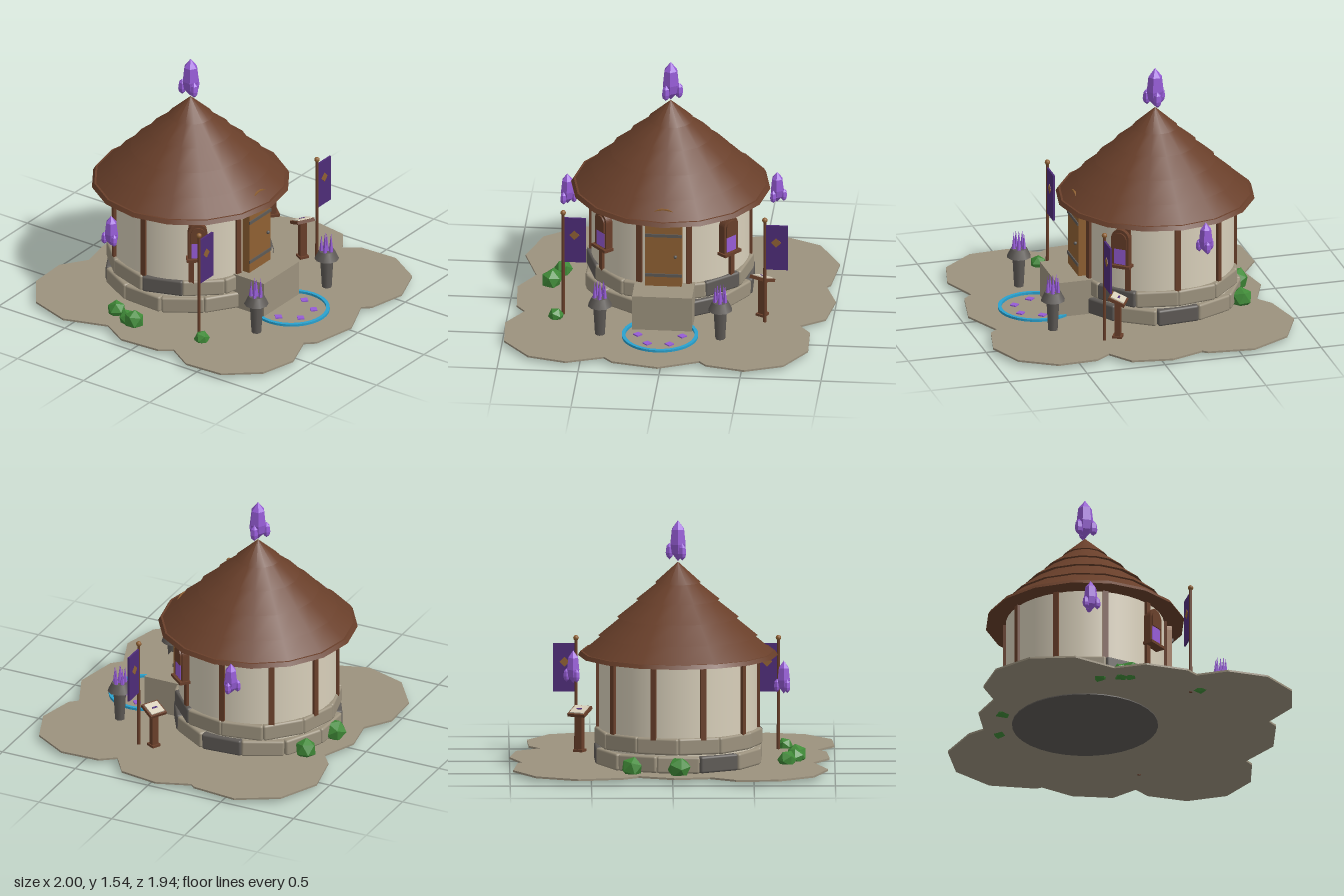
import * as THREE from 'three';
import { RoundedBoxGeometry } from 'three/addons/geometries/RoundedBoxGeometry.js';

const mat = (name, color, opts = {}) => {
  const m = new THREE.MeshStandardMaterial({ color, ...opts });
  m.name = name;
  return m;
};

export function createModel() {
  const M = {
    stone: mat('pale stone', 0x9c927e),
    dark: mat('dark stone', 0x5e5a56),
    cream: mat('plaster', 0xd8cfba),
    roof: mat('dark wood', 0x693f2a),
    wood: mat('light wood', 0x8f6033),
    crystal: mat('crystal purple', 0x965cd6, { flatShading: true }),
    cloth: mat('banner purple', 0x4e2c78),
    leaf: mat('leaf green', 0x408a38, { flatShading: true }),
    rune: mat('rune blue', 0x2aa2cf),
    iron: null,
  };
  M.iron = M.dark;

  const model = new THREE.Group();
  const add = (parent, name, geo, material, x = 0, y = 0, z = 0) => {
    const m = new THREE.Mesh(geo, material);
    m.name = name;
    m.position.set(x, y, z);
    parent.add(m);
    return m;
  };
  const group = (name, x = 0, y = 0, z = 0, parent = model) => {
    const g = new THREE.Group();
    g.name = name;
    g.position.set(x, y, z);
    parent.add(g);
    return g;
  };
  const box = (w, h, d) => new THREE.BoxGeometry(w, h, d);
  const cyl = (rt, rb, h, n = 16) => new THREE.CylinderGeometry(rt, rb, h, n);
  const extrude = (shape, depth) =>
    new THREE.ExtrudeGeometry(shape, { depth, bevelEnabled: false, curveSegments: 10 });
  const deg = Math.PI / 180;

  // Lobed ground slab
  const outline = [
    [-.65, -.97], [-.39, -.98], [-.23, -.87], [-.01, -.91], [.21, -.82], [.3, -.89], [.58, -.95], [.84, -.83],
    [.98, -.58], [.95, -.29], [.925, -.26], [1, -.05], [.96, .2], [.81, .305], [.88, .4], [.89, .65], [.755, .87],
    [.52, .96], [.28, .905], [.235, .855], [-.015, .963], [-.3, .905], [-.355, .845], [-.585, .93], [-.82, .87],
    [-.985, .67], [-1, .417], [-.893, .246], [-.95, .17], [-.968, -.096], [-.866, -.27], [-.957, -.545], [-.87, -.81],
  ];
  const slab = extrude(new THREE.Shape(outline.map(([x, z]) => new THREE.Vector2(x, z))), 0.012);
  slab.rotateX(Math.PI / 2);
  add(model, 'ground', slab, M.stone, 0, 0.045, 0);

  // Round hut: floor, wall, posts
  const hut = group('hut', -0.035, 0, -0.24);
  add(hut, 'floor', cyl(0.45, 0.45, 0.015, 32), M.dark, 0, 0.034, 0);
  add(hut, 'wall', cyl(0.488, 0.488, 0.67, 40), M.cream, 0, 0.385, 0);
  for (let i = 0; i < 10; i++) {
    const a = (18 + 36 * i) * deg;
    const post = add(hut, 'wallPost', box(0.034, 0.48, 0.034), M.roof, Math.sin(a) * 0.487, 0.49, Math.cos(a) * 0.487);
    post.rotation.y = a;
  }

  // Two staggered courses of foundation stones
  const courses = [
    { y: 0.1, r: 0.463, offset: 0, dark: [30, 90, 210] },
    { y: 0.212, r: 0.452, offset: 15, dark: [45, 285] },
  ];
  for (const c of courses) {
    for (let i = 0; i < 12; i++) {
      const d = c.offset + 30 * i;
      const wobble = Math.sin(i * 2.7 + c.offset);
      const s = add(hut, 'foundationStone', new RoundedBoxGeometry(0.264, 0.104, 0.1, 2, 0.014),
        c.dark.includes(d) ? M.dark : M.stone, Math.sin(d * deg) * c.r, c.y, Math.cos(d * deg) * c.r);
      s.rotation.set(0, d * deg + wobble * 0.03, wobble * 0.025, 'YXZ');
    }
  }

  // Tiered roof: [bottom radius, bottom height, top radius, top height]
  const tiers = [
    [0.615, 0.71, 0.6, 0.735], [0.59, 0.733, 0.455, 0.845], [0.49, 0.833, 0.335, 0.96],
    [0.374, 0.948, 0.22, 1.07], [0.257, 1.058, 0.11, 1.175], [0.14, 1.163, 0, 1.29],
  ];
  tiers.forEach(([rb, yb, rt, yt], i) =>
    add(hut, i ? 'roofTier' : 'eave', cyl(rt, rb, yt - yb, 16), M.roof, 0, (yb + yt) / 2, 0));

  // Arched outline with its foot at the origin
  const archShape = (w, straight) => {
    const s = new THREE.Shape();
    s.moveTo(-w / 2, 0);
    s.lineTo(w / 2, 0);
    s.lineTo(w / 2, straight);
    s.absarc(0, straight, w / 2, 0, Math.PI, false);
    return s;
  };

  // Door with iron bands and knob
  const door = group('door', 0, 0.265, 0.46, hut);
  add(door, 'doorPanel', extrude(archShape(0.225, 0.417), 0.065), M.wood);
  for (const y of [0.08, 0.35]) add(door, 'doorBand', box(0.227, 0.02, 0.008), M.iron, 0, y, 0.068);
  add(door, 'doorKnob', new THREE.SphereGeometry(0.011, 10, 8), M.iron, 0.075, 0.21, 0.073);

  // Two arched windows
  for (const side of [-1, 1]) {
    const w = group('window', 0, 0.43, 0, hut);
    w.rotation.y = side * 49.5 * deg;
    add(w, 'windowFrame', extrude(archShape(0.118, 0.18), 0.065), M.roof, 0, 0, 0.465);
    add(w, 'windowPane', extrude(archShape(0.078, 0.09), 0.004), M.crystal, 0, 0.012, 0.529);
    add(w, 'windowHood', extrude(archShape(0.09, 0.06), 0.012), M.roof, 0, 0.115, 0.528);
    add(w, 'windowSill', box(0.14, 0.018, 0.08), M.roof, 0, -0.001, 0.51);
  }

  // Doorstep
  add(model, 'doorstep', box(0.37, 0.23, 0.25), M.stone, -0.03, 0.155, 0.32);

  // Crystal clusters: one tall shard ringed by three small ones
  const shardGeo = (r, h) => new THREE.LatheGeometry(
    [[0, 0], [0.8, 0.2], [1, 0.42], [0.8, 0.78], [0, 1]].map(([a, b]) => new THREE.Vector2(a * r, b * h)), 6);
  const cluster = (name, x, y, z, s) => {
    const g = group(name, x, y, z);
    g.scale.setScalar(s);
    add(g, 'mainShard', shardGeo(0.054, 0.255), M.crystal);
    for (let i = 0; i < 3; i++) {
      const a = (90 + 120 * i) * deg;
      add(g, 'sideShard', shardGeo(0.027, 0.105), M.crystal, Math.sin(a) * 0.052, 0.01, Math.cos(a) * 0.052);
    }
  };
  cluster('roofCrystal', -0.035, 1.293, -0.24, 1);
  cluster('floatingCrystal', -0.685, 0.49, -0.375, 0.8);
  cluster('floatingCrystal', 0.61, 0.555, -0.375, 0.8);

  // Glowing ring with diamond marks
  const circle = group('runeCircle', -0.035, 0.045, 0.523);
  const ring = new THREE.Shape();
  ring.absarc(0, 0, 0.236, 0, Math.PI * 2, false);
  const hole = new THREE.Path();
  hole.absarc(0, 0, 0.214, 0, Math.PI * 2, true);
  ring.holes.push(hole);
  const ringGeo = new THREE.ExtrudeGeometry(ring, { depth: 0.015, bevelEnabled: false, curveSegments: 16 });
  ringGeo.rotateX(-Math.PI / 2);
  add(circle, 'ring', ringGeo, M.rune);
  for (let i = 0; i < 6; i++) {
    const a = (30 + 60 * i) * deg;
    add(circle, 'diamondMark', cyl(0.029, 0.029, 0.008, 4), M.crystal, Math.sin(a) * 0.137, 0.005, Math.cos(a) * 0.137);
  }

  // Stone braziers holding crystal spikes
  for (const x of [-0.406, 0.337]) {
    const b = group('brazier', x, 0, 0.524);
    add(b, 'stem', cyl(0.042, 0.03, 0.21, 8), M.dark, 0, 0.14, 0);
    add(b, 'bowl', cyl(0.05, 0.076, 0.055, 10), M.dark, 0, 0.268, 0);
    add(b, 'spike', new THREE.ConeGeometry(0.016, 0.12, 5), M.crystal, 0, 0.352, 0);
    for (let i = 0; i < 5; i++) {
      const a = i * 72 * deg;
      add(b, 'spike', new THREE.ConeGeometry(0.014, 0.11, 5), M.crystal, Math.sin(a) * 0.033, 0.348, Math.cos(a) * 0.033);
    }
  }

  // Banners on poles
  for (const x of [-0.655, 0.59]) {
    const b = group('banner', x, 0, 0.268);
    add(b, 'pole', cyl(0.009, 0.011, 0.7, 8), M.roof, 0, 0.38, 0);
    add(b, 'poleBall', new THREE.SphereGeometry(0.017, 10, 8), M.wood, 0, 0.738, 0);
    add(b, 'cloth', box(0.134, 0.3, 0.012), M.cloth, 0.075, 0.555, 0);
    for (const z of [-0.007, 0.007]) {
      const d = add(b, 'emblem', box(0.044, 0.044, 0.004), M.wood, 0.07, 0.59, z);
      d.rotation.z = Math.PI / 4;
    }
  }

  // Lectern with an open page
  const lectern = group('lectern', 0.567, 0, 0.175);
  lectern.rotation.y = -28 * deg;
  add(lectern, 'stand', box(0.045, 0.25, 0.035), M.roof, 0, 0.16, 0);
  add(lectern, 'foot', box(0.06, 0.02, 0.06), M.roof, 0, 0.05, 0);
  const desk = group('desk', 0, 0.295, 0, lectern);
  desk.rotation.x = -22 * deg * -1;
  desk.rotation.x = -desk.rotation.x;
  desk.rotation.x *= -1;
  desk.rotation.x = -Math.abs(desk.rotation.x);
  add(desk, 'deskTop', box(0.118, 0.02, 0.112), M.roof);
  add(desk, 'page', box(0.095, 0.008, 0.088), M.cream, 0, 0.013, 0);
  add(desk, 'pageMark', box(0.035, 0.003, 0.012), M.cloth, 0, 0.0185, 0);

  // Low bushes: [x, z, radius]
  const bushes = [
    [-0.755, -0.2, 0.058], [-0.765, -0.145, 0.066], [-0.705, -0.32, 0.06],
    [-0.695, 0.318, 0.05], [0.25, -0.71, 0.07], [-0.04, -0.765, 0.075],
  ];
  bushes.forEach(([x, z, r], i) => {
    const b = add(model, 'bush', new THREE.IcosahedronGeometry(r, 0), M.leaf, x, r + 0.01, z);
    b.rotation.set(0.55, i * 1.3, 0);
  });

  return model;
}
